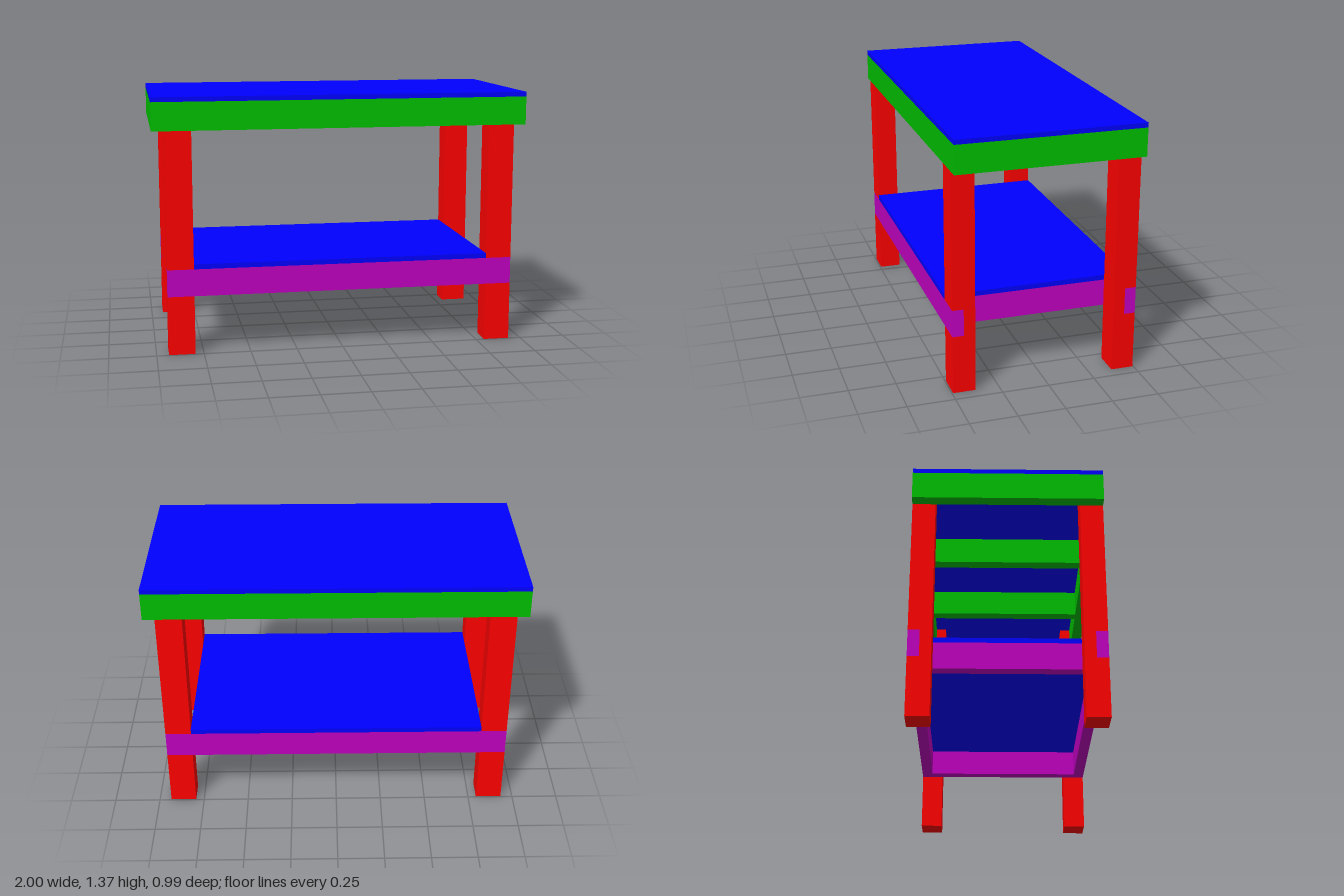
import * as THREE from 'three';

const material = (color) => new THREE.MeshStandardMaterial({ color });

export function createModel() {
  const group = new THREE.Group();
  const blue = material(0x0000ff), green = material(0x00c000);
  const red = material(0xff0000), purple = material(0xc000c0);

  // Board spanning x0..x1, y0..y1, z0..z1
  function board(name, mat, x0, x1, y0, y1, z0, z1) {
    const mesh = new THREE.Mesh(new THREE.BoxGeometry(x1 - x0, y1 - y0, z1 - z0), mat);
    mesh.position.set((x0 + x1) / 2, (y0 + y1) / 2, (z0 + z1) / 2);
    mesh.name = name;
    group.add(mesh);
  }

  const depth = 0.495;           // half depth of the bench
  const rail = 0.435;            // inner face of the long rails
  const legIn = 0.795, legOut = 0.935;
  const topLow = 1.19, topHigh = 1.34;
  const shelfLow = 0.315, shelfHigh = 0.46;

  // Worktop and lower shelf panels
  board('worktop', blue, -1, 1, topHigh, 1.365, -depth, depth);
  board('lowerShelf', blue, -legIn, legIn, shelfHigh, 0.487, -depth, depth);

  // Legs, notched on the outside to take the long rails
  const profile = new THREE.Shape([
    [0.375, 0], [depth, 0], [depth, shelfLow], [rail, shelfLow], [rail, shelfHigh],
    [depth, shelfHigh], [depth, topLow], [rail, topLow], [rail, topHigh], [0.375, topHigh],
  ].map(([z, y]) => new THREE.Vector2(z, y)));
  const width = legOut - legIn;
  const legGeometry = new THREE.ExtrudeGeometry(profile, { depth: width, bevelEnabled: false });
  legGeometry.translate(0, 0, -width / 2).rotateY(-Math.PI / 2);
  for (const front of [true, false]) {
    for (const side of [-1, 1]) {
      const leg = new THREE.Mesh(legGeometry, red);
      leg.name = (front ? 'front' : 'back') + (side > 0 ? 'LeftLeg' : 'RightLeg');
      leg.position.x = side * (legIn + legOut) / 2;
      if (!front) leg.rotation.y = Math.PI;
      group.add(leg);
    }
  }

  // Long rails of both frames
  for (const [name, z0, z1] of [['front', rail, depth], ['back', -depth, -rail]]) {
    board(name + 'TopRail', green, -1, 1, topLow, topHigh, z0, z1);
    board(name + 'ShelfRail', purple, -legOut, legOut, shelfLow, shelfHigh, z0, z1);
  }

  // Top end rails and the two joists between them
  for (const x of [-0.9675, -0.3125, 0.3125, 0.9675]) {
    const name = Math.abs(x) > 0.5 ? 'topEndRail' : 'topJoist';
    board(name, green, x - 0.0325, x + 0.0325, topLow, topHigh, -rail, rail);
  }

  // Shelf end rails, flush with the inside of the legs
  for (const x of [-0.765, 0.765]) {
    board('shelfEndRail', purple, x - 0.03, x + 0.03, shelfLow, shelfHigh, -rail, rail);
  }
  return group;
}
